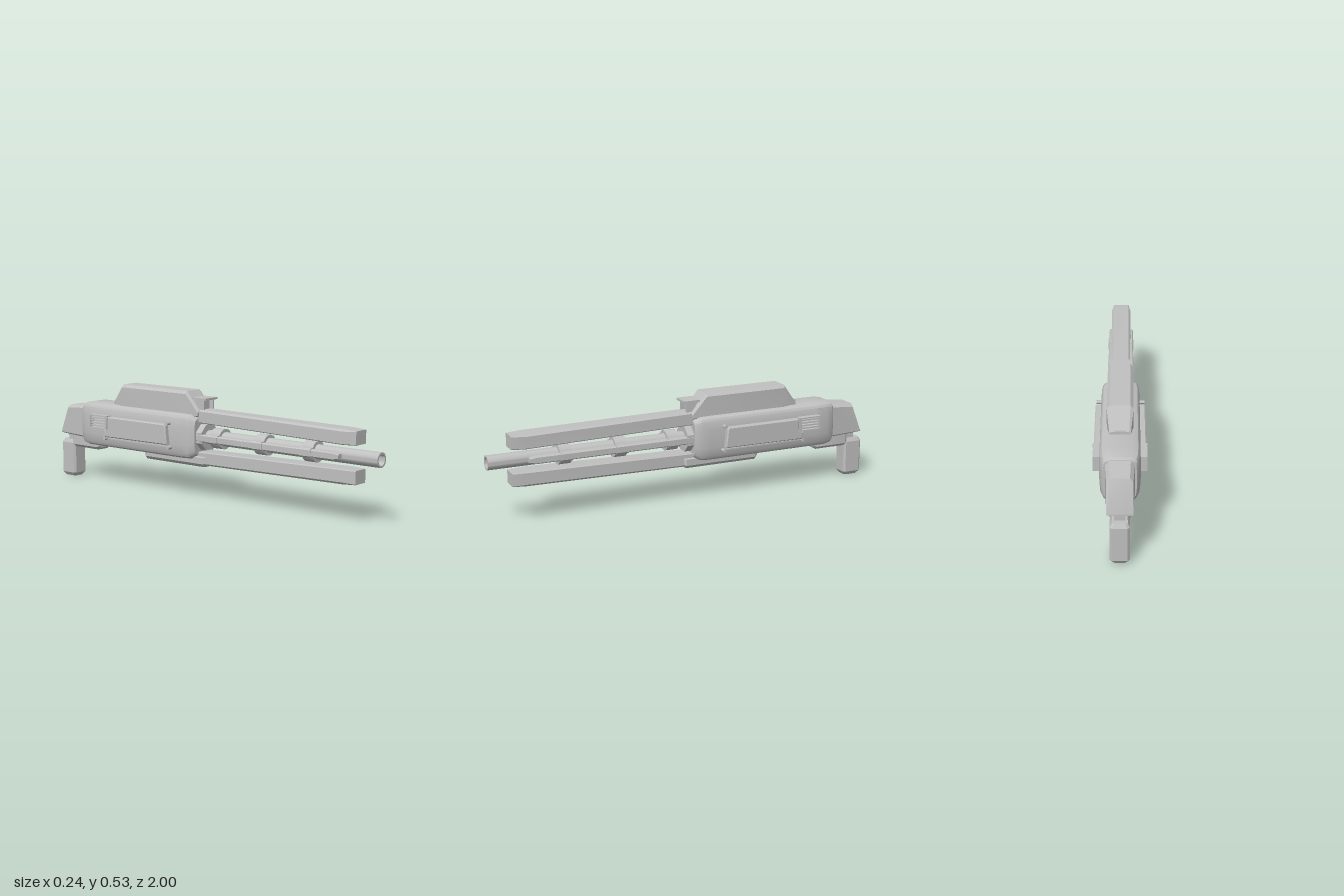
import * as THREE from 'three';
import { toCreasedNormals } from 'three/addons/utils/BufferGeometryUtils.js';

const AXIS_Y = 0.303; // height of the barrel axis

export function createModel() {
  const root = new THREE.Group();
  root.name = 'longBlaster';
  const grey = new THREE.MeshStandardMaterial({ color: 0xc0c0c0 });
  grey.name = 'gunmetal grey';

  const add = (name, geo, x = 0, y = 0, z = 0, crease = 0.45) => {
    const mesh = new THREE.Mesh(toCreasedNormals(geo, crease), grey);
    mesh.name = name;
    mesh.position.set(x, y, z);
    root.add(mesh);
    return mesh;
  };
  const box = (name, w, h, d, x, y, z) => add(name, new THREE.BoxGeometry(w, h, d), x, y, z);

  // Skin through counter-clockwise rings of [x, y] at rising z, capped at both ends
  function loft(rings) {
    const pos = [], n = rings[0].pts.length;
    const tri = (...p) => p.forEach((v) => pos.push(...v));
    const at = (r, j) => [...r.pts[j % n], r.z];
    for (let i = 0; i + 1 < rings.length; i++) {
      const p = rings[i], q = rings[i + 1];
      for (let j = 0; j < n; j++) {
        tri(at(p, j), at(p, j + 1), at(q, j + 1));
        tri(at(p, j), at(q, j + 1), at(q, j));
      }
    }
    const first = rings[0], last = rings[rings.length - 1];
    for (let j = 1; j + 1 < n; j++) {
      tri(at(first, 0), at(first, j + 1), at(first, j));
      tri(at(last, 0), at(last, j), at(last, j + 1));
    }
    const g = new THREE.BufferGeometry();
    g.setAttribute('position', new THREE.Float32BufferAttribute(pos, 3));
    return g;
  }

  // Box section: half width w, bottom y0, top y1, bottom chamfer b, top chamfer t
  const section = (z, w, y0, y1, b, t) => ({
    z,
    pts: [[w - b, y0], [w, y0 + b], [w, y1 - t], [w - t, y1],
      [t - w, y1], [-w, y1 - t], [-w, y0 + b], [b - w, y0]],
  });
  const block = (name, ...rows) => add(name, loft(rows.map((r) => section(...r))));

  // Receiver: bulging section, pinched towards both ends
  const half = [[0.066, 0.195], [0.08, 0.204], [0.088, 0.22], [0.092, 0.26], [0.093, 0.303],
    [0.092, 0.35], [0.088, 0.395], [0.08, 0.407], [0.055, 0.418]];
  const outline = [...half, ...half.map(([x, y]) => [-x, y]).reverse()];
  const bodyRing = ([z, sx, sy]) => ({
    z, pts: outline.map(([x, y]) => [x * sx, 0.308 + (y - 0.308) * sy]),
  });
  add('receiver', loft([
    [-0.805, 0.8, 0.86], [-0.795, 0.88, 0.95], [-0.76, 0.97, 1], [-0.7, 1, 1],
    [-0.1, 1, 1], [-0.055, 0.95, 0.98], [-0.03, 0.84, 0.84], [-0.025, 0.8, 0.8],
  ].map(bodyRing)), 0, 0, 0, 0.5);

  // Barrel with a hollow muzzle
  const profile = [[0.035, -0.1], [0.035, 1], [0.026, 1], [0.026, 0.82], [0, 0.82]]
    .map(([r, y]) => new THREE.Vector2(r, y));
  add('barrel', new THREE.LatheGeometry(profile, 32).rotateX(Math.PI / 2), 0, AXIS_Y, 0);
  const collar = new THREE.CylinderGeometry(0.068, 0.068, 0.06, 8, 1).rotateY(Math.PI / 8);
  add('barrelCollar', collar.rotateX(Math.PI / 2), 0, AXIS_Y, -0.02);

  // Upper rail, and the lower rail as its reflection about the barrel axis
  block('upperRail',
    [-0.06, 0.045, 0.375, 0.44, 0.004, 0.008],
    [0.82, 0.05, 0.358, 0.428, 0.004, 0.01],
    [0.89, 0.04, 0.36, 0.424, 0.003, 0.003]);
  block('lowerRail',
    [-0.06, 0.045, 0.166, 0.231, 0.008, 0.004],
    [0.82, 0.05, 0.178, 0.248, 0.01, 0.004],
    [0.89, 0.04, 0.182, 0.246, 0.003, 0.003]);

  // Rods beside the barrel, held by clamps
  for (const s of [1, -1]) {
    const rod = block('sideRod',
      [-0.05, 0.017, -0.018, 0.018, 0.005, 0.005],
      [0.78, 0.017, -0.018, 0.018, 0.005, 0.005],
      [0.81, 0.013, -0.012, 0.012, 0.004, 0.004]);
    rod.position.set(s * 0.047, AXIS_Y, 0);
  }
  for (const z of [0.08, 0.35, 0.63]) {
    const ring = new THREE.CylinderGeometry(0.05, 0.05, 0.06, 24).rotateX(Math.PI / 2);
    add('barrelClamp', ring, 0, AXIS_Y, z);
    const clip = block('rodClamp',
      [-0.03, 0.067, -0.022, 0.022, 0.008, 0.008],
      [0.03, 0.067, -0.022, 0.022, 0.008, 0.008]);
    clip.position.set(0, AXIS_Y, z);
  }

  // Top cover with sloping ends
  block('topCover',
    [-0.598, 0.048, 0.405, 0.43, 0.004, 0.008],
    [-0.527, 0.06, 0.405, 0.526, 0.004, 0.014],
    [-0.095, 0.06, 0.405, 0.526, 0.004, 0.014],
    [-0.02, 0.055, 0.405, 0.436, 0.004, 0.012]);
  box('coverLatch', 0.05, 0.012, 0.03, 0, 0.432, -0.595);

  // Front sight: hood plate, cheeks and recessed block
  box('sightHood', 0.09, 0.01, 0.085, 0, 0.492, -0.022);
  box('sightBlock', 0.066, 0.055, 0.06, 0, 0.462, -0.045);
  for (const s of [1, -1]) box('sightCheek', 0.008, 0.055, 0.05, s * 0.033, 0.462, -0.02);

  // Shoulder piece, underside blocks
  block('stock',
    [-0.982, 0.058, 0.235, 0.242, 0.003, 0.003],
    [-0.93, 0.058, 0.23, 0.386, 0.006, 0.015],
    [-0.78, 0.066, 0.225, 0.402, 0.008, 0.018]);
  block('foreGrip',
    [-0.382, 0.045, 0.172, 0.21, 0.008, 0.004],
    [-0.37, 0.055, 0.158, 0.21, 0.016, 0.004],
    [0.01, 0.055, 0.158, 0.21, 0.016, 0.004],
    [0.022, 0.046, 0.17, 0.21, 0.008, 0.004]);
  block('gripMount',
    [-0.912, 0.04, 0.172, 0.235, 0.01, 0.004],
    [-0.9, 0.046, 0.163, 0.235, 0.014, 0.004],
    [-0.73, 0.046, 0.163, 0.235, 0.014, 0.004],
    [-0.715, 0.04, 0.175, 0.235, 0.01, 0.004]);

  // Rear grip, lofted upright
  const grip = [[0, 0.031, 0.912, 0.988], [0.018, 0.043, 0.9, 1], [0.18, 0.043, 0.9, 1],
    [0.198, 0.034, 0.91, 0.99]].map(([y, w, a, b]) => section(y, w, a, b, 0.01, 0.01));
  add('rearGrip', loft(grip).rotateX(-Math.PI / 2));
  box('gripNeck', 0.05, 0.06, 0.05, 0, 0.215, -0.935);

  // Plate cut in the side plane: points are [distance back, height]
  const sidePlate = (pts, depth, bevel, hole) => {
    const shape = new THREE.Shape(pts.map((p) => new THREE.Vector2(...p)));
    if (hole) shape.holes.push(new THREE.Path(hole.map((p) => new THREE.Vector2(...p))));
    return new THREE.ExtrudeGeometry(shape, {
      depth, bevelEnabled: bevel > 0, bevelSize: bevel, bevelThickness: bevel,
      bevelOffset: -bevel, bevelSegments: 1,
    }).translate(0, 0, -depth / 2).rotateY(Math.PI / 2);
  };
  const rect = (a, b, c, d) => [[a, c], [b, c], [b, d], [a, d]];

  for (const s of [1, -1]) {
    // Side cover, its vent and its fasteners
    const panel = [[0.172, 0.258], [0.6, 0.254], [0.607, 0.29], [0.582, 0.298], [0.582, 0.36],
      [0.19, 0.36], [0.182, 0.35]];
    add('sidePanel', sidePlate(panel, 0.024, 0.005), s * 0.101);
    const frame = sidePlate(rect(0.58, 0.705, 0.293, 0.364), 0.035, 0, rect(0.595, 0.697, 0.3, 0.357));
    add('ventFrame', frame, s * 0.103);
    for (let i = 0; i < 4; i++) box('ventSlat', 0.026, 0.008, 0.104, s * 0.103, 0.308 + i * 0.0137, -0.646);
    box('ventLatch', 0.034, 0.014, 0.02, s * 0.105, 0.356, -0.585);
    box('panelTrim', 0.012, 0.006, 0.44, s * 0.093, 0.246, -0.386);
    for (const [y, z] of [[0.364, -0.174], [0.244, -0.166], [0.246, -0.606]]) {
      const knob = new THREE.CylinderGeometry(0.009, 0.009, 0.034, 12).rotateZ(Math.PI / 2);
      add('panelKnob', knob, s * 0.097, y, z);
    }
  }
  return root;
}
